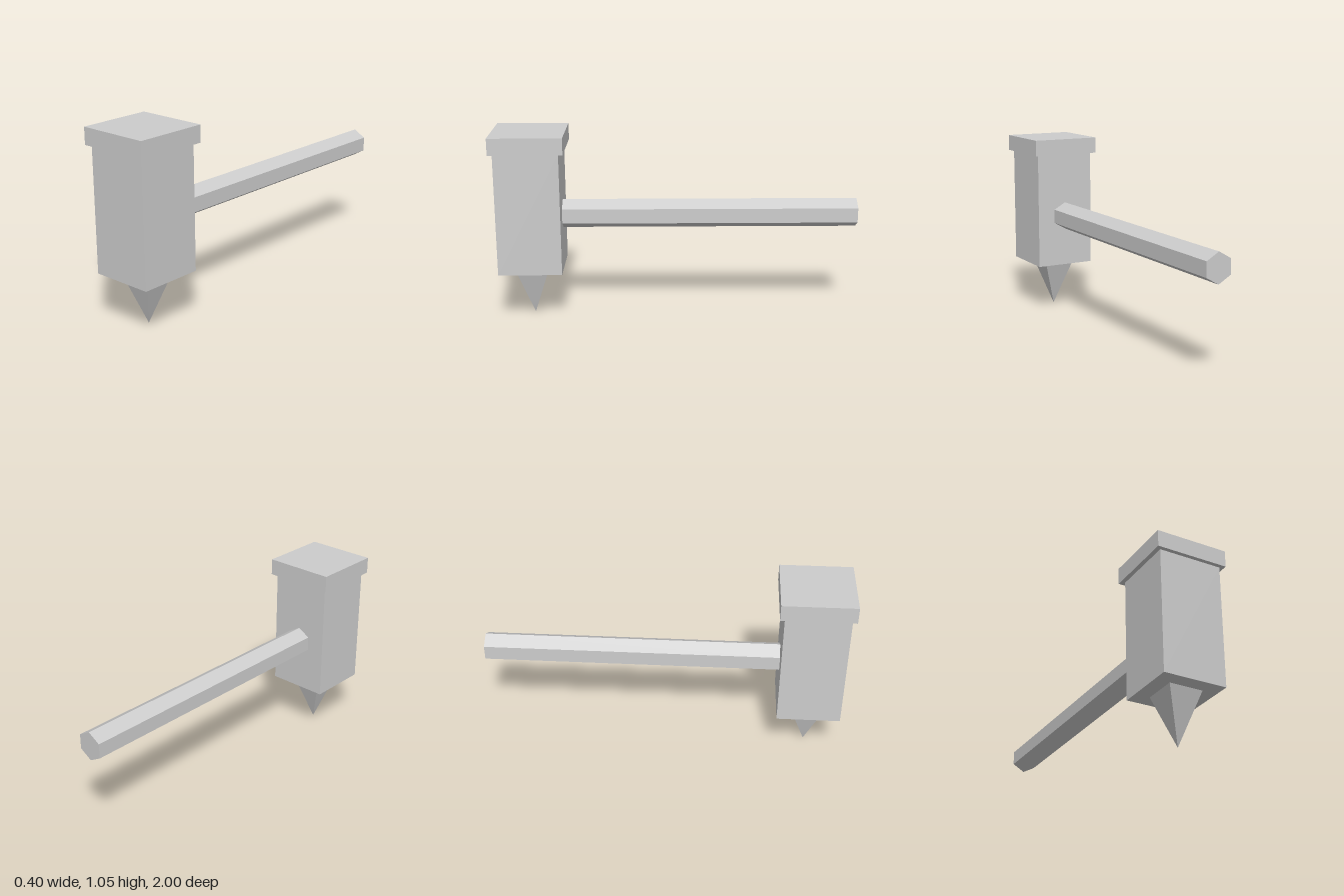
import * as THREE from 'three';

export function createModel() {
  const group = new THREE.Group();
  const gray = new THREE.MeshStandardMaterial({ color: 0xcccccc, flatShading: true });
  gray.name = 'light gray';
  const headZ = 0.803;

  function add(name, geometry, x, y, z) {
    const mesh = new THREE.Mesh(geometry, gray);
    mesh.name = name;
    mesh.position.set(x, y, z);
    group.add(mesh);
    return mesh;
  }

  // Square head with a wider striking cap
  add('headBlock', new THREE.BoxGeometry(0.35, 0.68, 0.35), 0, 0.623, headZ);
  add('headCap', new THREE.BoxGeometry(0.398, 0.092, 0.398), 0, 1.007, 0.801);

  // Four-sided spike pointing down, its faces parallel to the head
  const spike = new THREE.ConeGeometry(0.093 * Math.SQRT2, 0.283, 4);
  spike.rotateY(Math.PI / 4).rotateX(Math.PI);
  add('spike', spike, 0, 0.1415, headZ);

  // Hexagonal handle with a ridge on top, running back from the head
  const handle = new THREE.CylinderGeometry(0.081, 0.081, 1.64, 6);
  handle.rotateX(Math.PI / 2);
  add('handle', handle, 0, 0.586, -0.18);

  return group;
}
